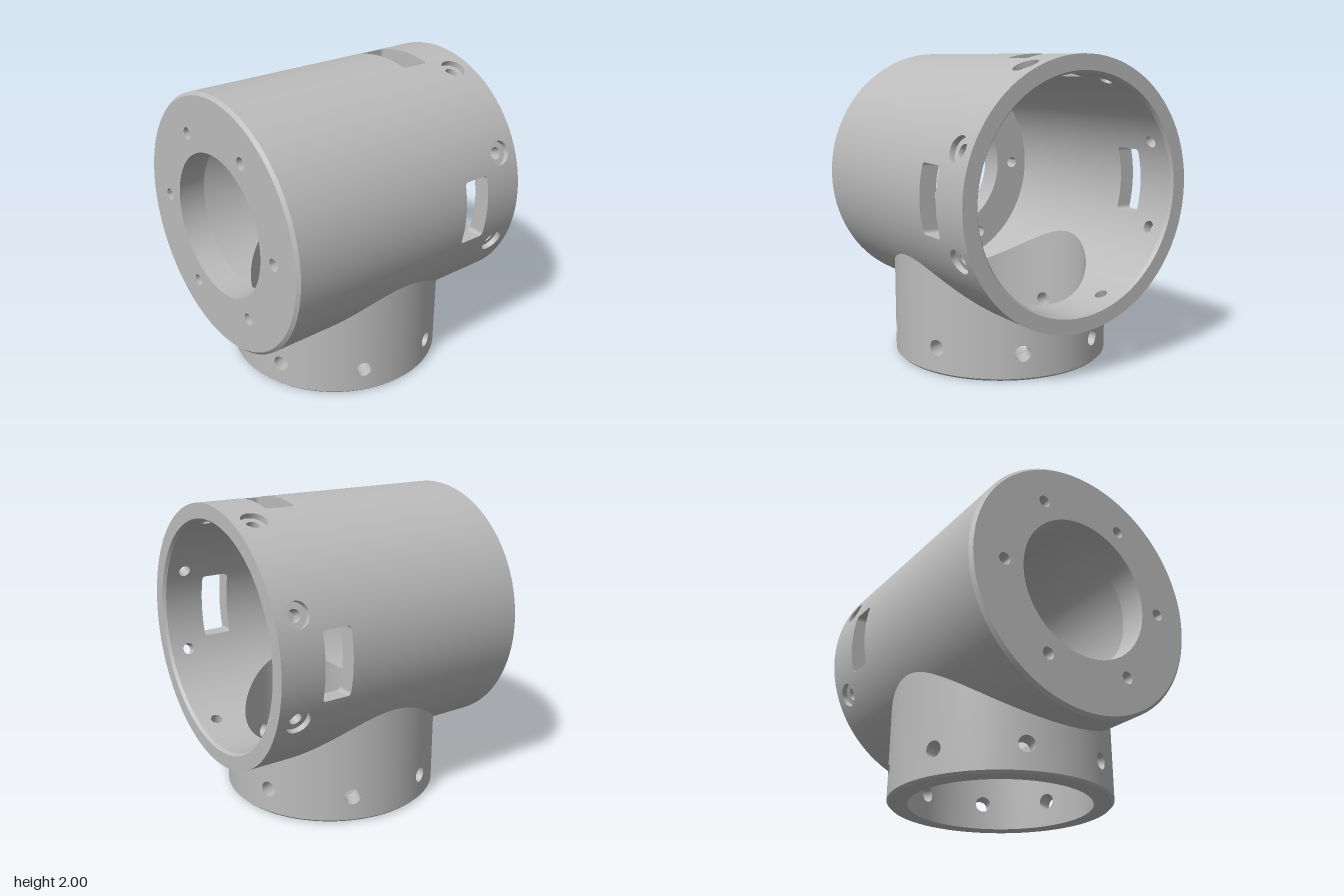
import * as THREE from 'three';
import { toCreasedNormals } from 'three/addons/utils/BufferGeometryUtils.js';

const SEGMENTS = 96;
const STEP = (Math.PI * 2) / SEGMENTS;
const TUBE = { outer: 0.84, inner: 0.73, y: 1.16 };
const NECK = { outer: 0.72, inner: 0.59, x: 0.015 };
const deg = THREE.MathUtils.degToRad;

const grey = new THREE.MeshStandardMaterial({ color: 0xbcbcbc });
grey.name = 'grey metal';

function add(group, name, geometry) {
  const mesh = new THREE.Mesh(geometry, grey);
  mesh.name = name;
  group.add(mesh);
}

// Flat outlines used for the openings
function circle(r, n = 32) {
  return Array.from({ length: n }, (_, i) => {
    const a = (i / n) * Math.PI * 2;
    return new THREE.Vector2(r * Math.cos(a), r * Math.sin(a));
  });
}

function roundedRect(w, h, r) {
  const s = new THREE.Shape();
  s.absarc(w - r, h - r, r, 0, Math.PI / 2);
  s.absarc(r - w, h - r, r, Math.PI / 2, Math.PI);
  s.absarc(r - w, r - h, r, Math.PI, Math.PI * 1.5);
  s.absarc(w - r, r - h, r, Math.PI * 1.5, Math.PI * 2);
  s.closePath();
  return s.getSpacedPoints(120).slice(0, -1);
}

// Outline projected straight onto a cylinder, as (angle, height)
const unroll = (pts, R, u, v) =>
  pts.map((p) => new THREE.Vector2(u + Math.asin(p.x / R), v + p.y));

// Keep the part of a polygon on one side of the line x = limit
function clip(poly, limit, sign) {
  const out = [];
  poly.forEach((a, i) => {
    const b = poly[(i + 1) % poly.length];
    const da = (a.x - limit) * sign, db = (b.x - limit) * sign;
    if (da >= 0) out.push(a);
    if (da * db < 0) out.push(a.clone().lerp(b, da / (da - db)));
  });
  return out;
}

// Sheet with holes, cut into narrow strips and wrapped around the y axis
function wrappedSheet(R, outline, holes, inward = false) {
  const all = [outline, ...holes].flat();
  const pos = [], nor = [];
  const side = inward ? -1 : 1;
  const put = (p) => {
    const x = Math.sin(p.x), z = Math.cos(p.x);
    pos.push(R * x, p.y, R * z);
    nor.push(side * x, 0, side * z);
  };
  for (const face of THREE.ShapeUtils.triangulateShape(outline, holes)) {
    const tri = face.map((i) => all[i]);
    if (THREE.ShapeUtils.area(tri) * side < 0) tri.reverse();
    const us = tri.map((p) => p.x);
    const first = Math.floor(Math.min(...us) / STEP);
    const last = Math.ceil(Math.max(...us) / STEP);
    for (let k = first; k < last; k++) {
      const poly = clip(clip(tri, k * STEP, 1), (k + 1) * STEP, -1);
      for (let i = 1; i + 1 < poly.length; i++) [poly[0], poly[i], poly[i + 1]].forEach(put);
    }
  }
  const g = new THREE.BufferGeometry();
  g.setAttribute('position', new THREE.Float32BufferAttribute(pos, 3));
  g.setAttribute('normal', new THREE.Float32BufferAttribute(nor, 3));
  return g;
}

// Walls of an opening, from outer ring to inner ring
function loft(rings) {
  const n = rings[0].length;
  const index = [];
  for (let r = 0; r + 1 < rings.length; r++) {
    for (let i = 0; i < n; i++) {
      const a = r * n + i, b = r * n + ((i + 1) % n);
      index.push(a, b, b + n, a, b + n, a + n);
    }
  }
  const g = new THREE.BufferGeometry().setFromPoints(rings.flat());
  g.setIndex(index);
  return toCreasedNormals(g, 0.6);
}

// Ring at distance depth(s) from the axis, facing angle u at height v
function ring(pts, u, v, depth) {
  const c = Math.cos(u), s = Math.sin(u);
  return pts.map((p) => {
    const d = depth(p.x);
    return new THREE.Vector3(s * d + c * p.x, v + p.y, c * d - s * p.x);
  });
}
const onCylinder = (R) => (s) => Math.sqrt(R * R - s * s);
const flatAt = (d) => () => d;

function lathe(points) {
  const pts = points.map(([r, y]) => new THREE.Vector2(r, y));
  return toCreasedNormals(new THREE.LatheGeometry(pts, SEGMENTS), 0.6);
}

// Large tube, built upright and laid along x
function buildTube() {
  const tube = new THREE.Group();
  tube.name = 'mainTube';
  const outerHoles = [unroll(circle(NECK.outer, 96), TUBE.outer, Math.PI / 2, NECK.x)];
  const innerHoles = [unroll(circle(NECK.inner, 96), TUBE.inner, Math.PI / 2, NECK.x)];

  // Windows at the front, back and top
  const windowShape = roundedRect(0.215, 0.097, 0.02);
  for (const angle of [0, 180, 270]) {
    const u = deg(angle), v = 0.515;
    outerHoles.push(unroll(windowShape, TUBE.outer, u, v));
    innerHoles.push(unroll(windowShape, TUBE.inner, u, v));
    add(tube, 'windowWalls', loft([
      ring(windowShape, u, v, onCylinder(TUBE.outer)),
      ring(windowShape, u, v, onCylinder(TUBE.inner)),
    ]));
  }

  // Counterbored screw holes around the open end
  const wide = circle(0.08), narrow = circle(0.04);
  for (let k = 0; k < 8; k++) {
    const u = deg(-22.5 + 45 * k), v = 0.755, floor = flatAt(0.803);
    outerHoles.push(unroll(wide, TUBE.outer, u, v));
    innerHoles.push(unroll(narrow, TUBE.inner, u, v));
    add(tube, 'screwHole', loft([
      ring(wide, u, v, onCylinder(TUBE.outer)),
      ring(wide, u, v, floor),
      ring(narrow, u, v, floor),
      ring(narrow, u, v, onCylinder(TUBE.inner)),
    ]));
  }

  const sheet = (low, high) => [[-45, low], [315, low], [315, high], [-45, high]]
    .map(([a, y]) => new THREE.Vector2(deg(a), y));
  add(tube, 'tubeOuterWall', wrappedSheet(TUBE.outer, sheet(-0.88, 0.9), outerHoles));
  add(tube, 'tubeInnerWall', wrappedSheet(TUBE.inner, sheet(-0.72, 0.88), innerHoles, true));
  add(tube, 'openRim', lathe([[0.84, 0.9], [0.745, 0.9], [0.73, 0.88]]));
  add(tube, 'closedEndChamfer', lathe([[0.82, -0.9], [0.84, -0.88]]));

  // End plate with a central opening and six bolt holes
  const plate = new THREE.Shape(circle(0.82, SEGMENTS));
  plate.holes.push(new THREE.Path(circle(0.47, SEGMENTS)));
  for (let k = 0; k < 6; k++) {
    const a = Math.PI / 2 + (k * Math.PI) / 3;
    const at = new THREE.Vector2(0.603 * Math.cos(a), 0.603 * Math.sin(a));
    plate.holes.push(new THREE.Path(circle(0.04).map((p) => p.add(at))));
  }
  const plateGeo = new THREE.ExtrudeGeometry(plate, { depth: 0.18, bevelEnabled: false });
  plateGeo.rotateX(-Math.PI / 2).translate(0, -0.9, 0);
  add(tube, 'endPlate', toCreasedNormals(plateGeo, 0.6));

  tube.rotation.z = -Math.PI / 2;
  tube.position.y = TUBE.y;
  return tube;
}

// Short neck whose top edge follows the tube
function buildNeck() {
  const neck = new THREE.Group();
  neck.name = 'neck';
  const hole = circle(0.052);
  const outerHoles = [], innerHoles = [];
  for (let k = 0; k < 8; k++) {
    const u = deg(22.5 + 45 * k), v = 0.175;
    outerHoles.push(unroll(hole, NECK.outer, u, v));
    innerHoles.push(unroll(hole, NECK.inner, u, v));
    add(neck, 'neckHole', loft([
      ring(hole, u, v, onCylinder(NECK.outer)),
      ring(hole, u, v, onCylinder(NECK.inner)),
    ]));
  }
  const saddle = (R, tubeR, low) => {
    const pts = [new THREE.Vector2(0, low), new THREE.Vector2(Math.PI * 2, low)];
    for (let i = SEGMENTS; i >= 0; i--) {
      const z = R * Math.cos(i * STEP);
      pts.push(new THREE.Vector2(i * STEP, TUBE.y - Math.sqrt(tubeR * tubeR - z * z)));
    }
    return pts;
  };
  add(neck, 'neckOuterWall', wrappedSheet(NECK.outer, saddle(NECK.outer, TUBE.outer, 0.015), outerHoles));
  add(neck, 'neckInnerWall', wrappedSheet(NECK.inner, saddle(NECK.inner, TUBE.inner, 0), innerHoles, true));
  add(neck, 'neckRim', lathe([[0.59, 0], [0.705, 0], [0.72, 0.015]]));
  neck.position.x = NECK.x;
  return neck;
}

export function createModel() {
  const model = new THREE.Group();
  model.name = 'pipeTeeHousing';
  model.add(buildTube(), buildNeck());
  return model;
}
